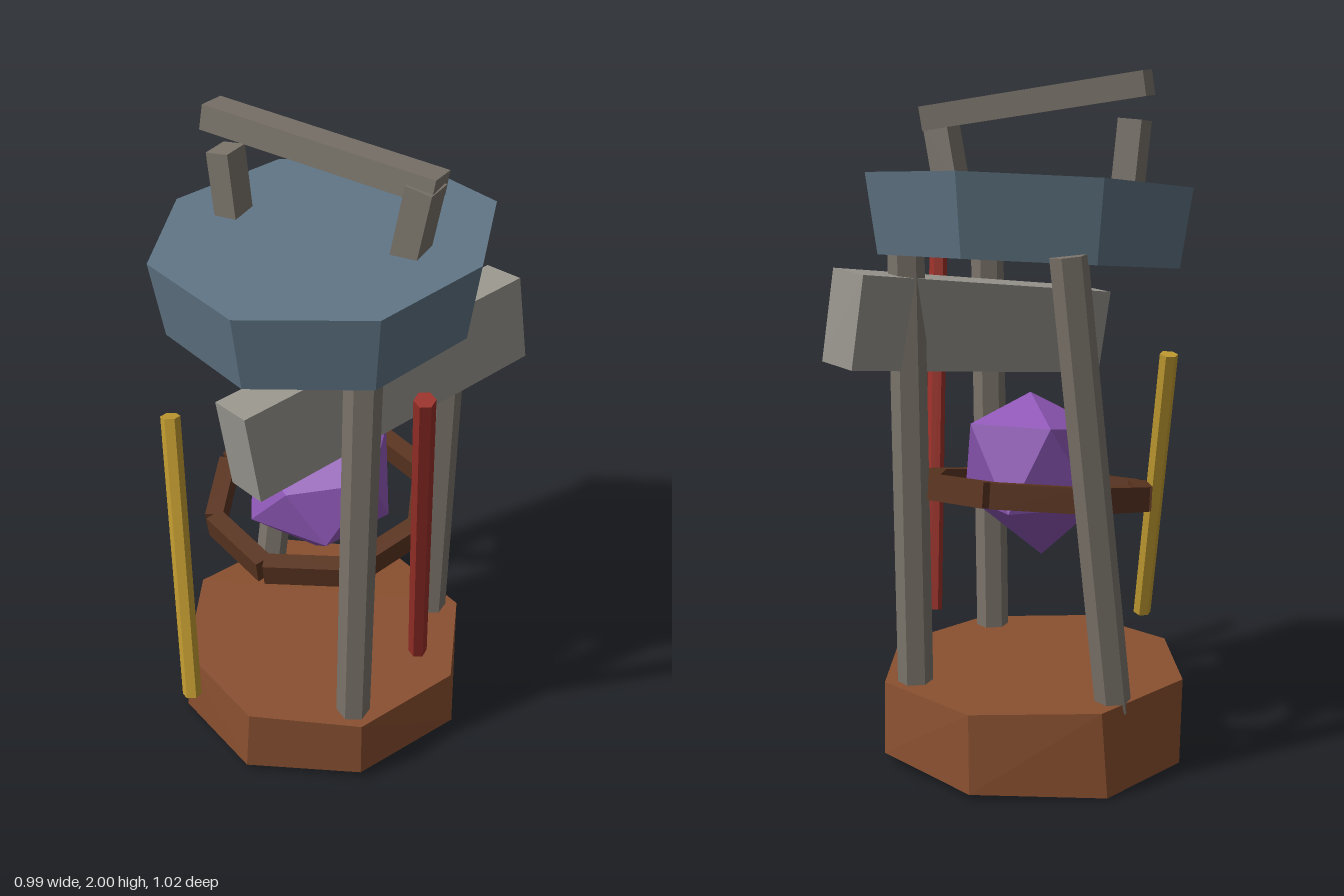
import * as THREE from 'three';
import { ConvexGeometry } from 'three/addons/geometries/ConvexGeometry.js';

const V = (x, y, z) => new THREE.Vector3(x, y, z);
const mat = (color) => new THREE.MeshStandardMaterial({ color, flatShading: true });

const wood = mat(0x8a5030), darkWood = mat(0x5a3420), slate = mat(0x5f7484);
const stone = mat(0x7a736a), paleStone = mat(0x99968e);
const gold = mat(0xc09a30), red = mat(0x9a2f28), violet = mat(0x9058b8);

export function createModel() {
  const model = new THREE.Group();

  const add = (name, geometry, material, parent = model) => {
    const mesh = new THREE.Mesh(geometry, material);
    mesh.name = name;
    parent.add(mesh);
    return mesh;
  };

  // Six-sided rod between two points
  const rod = (name, a, b, radius, material) => {
    const dir = b.clone().sub(a);
    const mesh = add(name, new THREE.CylinderGeometry(radius, radius, dir.length(), 6), material);
    mesh.position.copy(a).add(b).multiplyScalar(0.5);
    mesh.quaternion.setFromUnitVectors(V(0, 1, 0), dir.normalize());
    return mesh;
  };

  // Box whose local z runs from a to b, with an approximate local up
  const beam = (name, a, b, width, height, up, material, parent = model) => {
    const z = b.clone().sub(a);
    const length = z.length();
    z.normalize();
    const x = up.clone().cross(z).normalize();
    const y = z.clone().cross(x);
    const mesh = add(name, new THREE.BoxGeometry(width, height, length), material, parent);
    mesh.quaternion.setFromRotationMatrix(new THREE.Matrix4().makeBasis(x, y, z));
    mesh.position.copy(a).add(b).multiplyScalar(0.5);
    return mesh;
  };

  // Slab from two outlines of [x, z] and a height rule for each
  const slab = (name, low, lowY, high, highY, material) => add(name, new ConvexGeometry([
    ...low.map(([x, z]) => V(x, lowY(x, z), z)),
    ...high.map(([x, z]) => V(x, highY(x, z), z)),
  ]), material);

  // Uneven octagonal base
  slab('base',
    [[0.46, -0.03], [0.305, 0.31], [-0.03, 0.45], [-0.35, 0.31], [-0.49, -0.03], [-0.38, -0.35], [-0.03, -0.505], [0.31, -0.37]],
    (x) => 0.02 + 0.038 * x,
    [[0.45, -0.02], [0.31, 0.32], [-0.01, 0.455], [-0.33, 0.32], [-0.49, -0.01], [-0.36, -0.345], [-0.02, -0.487], [0.32, -0.345]],
    (x, z) => 0.247 - 0.01 * x + 0.01 * z, wood);

  // Tilted, tapered octagonal lid
  const lidTop = [[0.455, -0.02], [0.34, 0.325], [0, 0.477], [-0.355, 0.332], [-0.497, -0.015], [-0.36, -0.36], [-0.005, -0.508], [0.343, -0.365]];
  const lidBottom = lidTop.map(([x, z]) => [x * 0.93, z * 0.93 - 0.005]);
  const tilt = (y) => (x, z) => y + 0.027 * x - 0.057 * z;
  slab('lid', lidBottom, tilt(1.465), lidTop, tilt(1.69), slate);

  // Three posts, the back one leaning
  rod('frontPost', V(0.25, 0.22, 0.265), V(0.262, 1.5, 0.262), 0.052, stone);
  rod('sidePost', V(0.243, 0.22, -0.297), V(0.25, 1.5, -0.305), 0.052, stone);
  rod('leaningPost', V(-0.354, 0.22, -0.232), V(-0.266, 1.5, -0.37), 0.052, stone);

  // Broken handle: stub, leg and slanting bar
  const handle = new THREE.Group();
  handle.name = 'handle';
  model.add(handle);
  const side = V(1, 0, 0);
  beam('handleStub', V(-0.303, 1.65, -0.02), V(-0.325, 1.865, -0.02), 0.09, 0.07, side, stone, handle);
  beam('handleLeg', V(0.24, 1.65, -0.02), V(0.284, 1.89, -0.02), 0.09, 0.078, side, stone, handle);
  beam('handleBar', V(-0.36, 1.965, -0.005), V(0.317, 1.882, -0.037), 0.1, 0.07, V(0, 1, -0.1), stone, handle);

  // Large slanting block wedged under the lid
  beam('crossBlock', V(0.357, 1.322, -0.478), V(-0.023, 1.228, 0.432), 0.138, 0.263, V(-0.035, 0.26, 0.012), paleStone);

  // Tilted octagonal ring of eight bars
  const ring = new THREE.Group();
  ring.name = 'ring';
  ring.position.set(-0.025, 0.785, -0.015);
  ring.rotation.x = 0.145;
  model.add(ring);
  const corner = (i) => {
    const a = i * Math.PI / 4;
    return V(Math.sin(a) * 0.335, 0, Math.cos(a) * 0.335);
  };
  for (let i = 0; i < 8; i++) {
    beam('ringBar', corner(i), corner(i + 1), 0.055, 0.072, V(0, 1, 0), darkWood, ring);
  }

  // Twenty-sided crystal from two staggered rings of five
  const points = [V(0, 1.077, 0), V(-0.04, 0.585, -0.012)];
  for (let i = 0; i < 5; i++) {
    const a = i * Math.PI * 2 / 5, b = a + Math.PI / 5;
    points.push(V(-0.01 + 0.215 * Math.sin(a), 0.975 - 0.03 * Math.cos(a), 0.215 * Math.cos(a)));
    points.push(V(-0.025 + 0.222 * Math.sin(b), 0.765 + 0.015 * Math.cos(b), 0.222 * Math.cos(b)));
  }
  add('crystal', new ConvexGeometry(points), violet);

  // Loose leaning rods
  rod('goldRod', V(-0.2, 0.28, 0.483), V(-0.333, 1.172, 0.31), 0.029, gold);
  rod('redRod', V(0.352, 0.35, 0.03), V(0.463, 1.485, 0.315), 0.029, red);

  return model;
}
